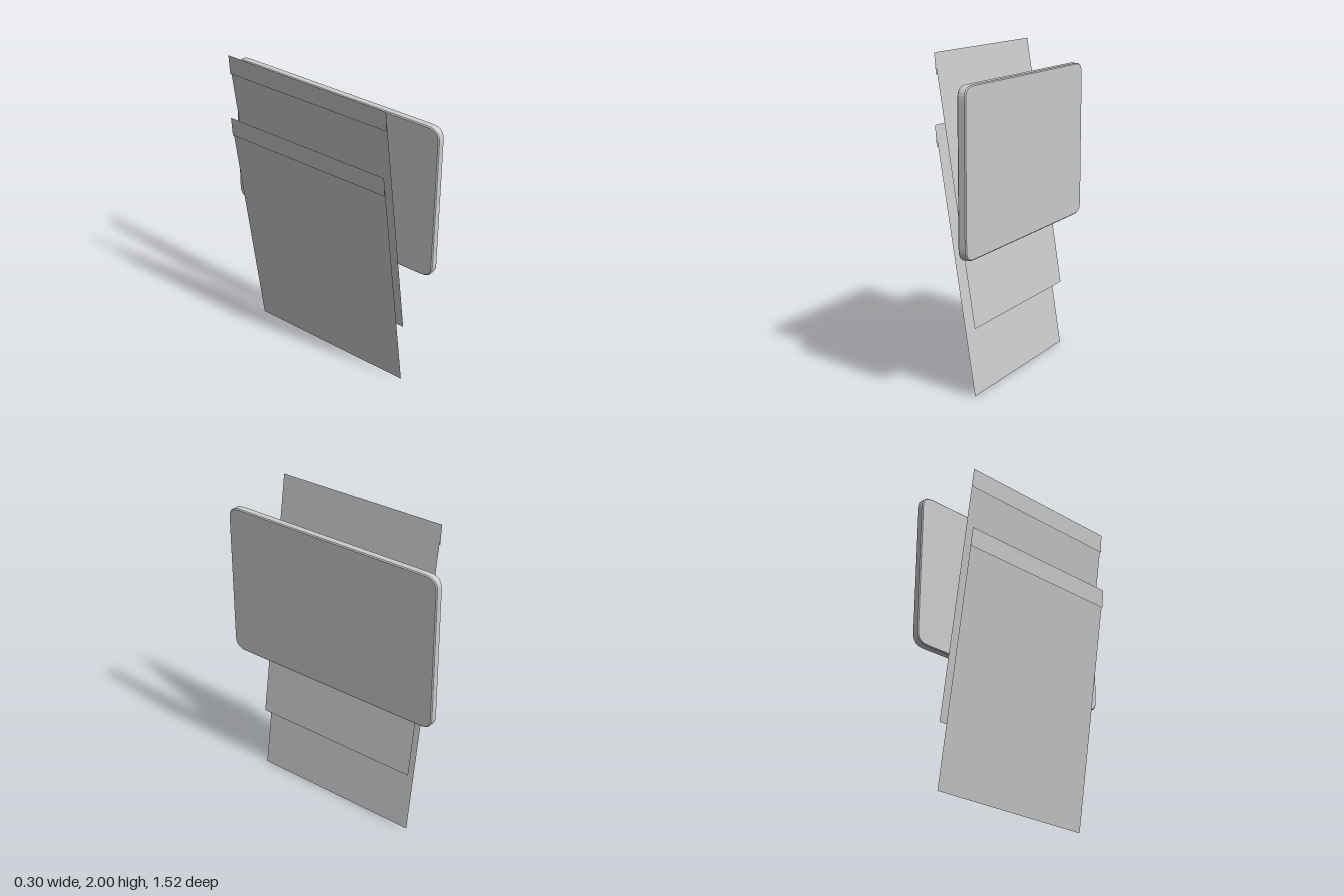
import * as THREE from 'three';

const solid = new THREE.MeshStandardMaterial({ color: 0xcccccc, flatShading: true });
const thin = new THREE.MeshStandardMaterial({ color: 0xcccccc, flatShading: true, side: THREE.DoubleSide });

// Thin sheet swept along z from an [x, y] profile
function sheet(profile, width) {
  const geo = new THREE.PlaneGeometry(1, 1, 1, profile.length - 1);
  const pos = geo.attributes.position;
  profile.forEach(([x, y], i) => {
    pos.setXYZ(i * 2, x, y, width / 2);
    pos.setXYZ(i * 2 + 1, x, y, -width / 2);
  });
  geo.computeVertexNormals();
  return geo;
}

// Upright slab with soft corners and a fine bevelled rim
function panelGeometry(width, height, depth) {
  const bevel = 0.006, w = width / 2 - bevel, h = height / 2 - bevel;
  const rx = 0.085, ry = 0.075;
  const s = new THREE.Shape();
  s.moveTo(-w + rx, -h);
  s.lineTo(w - rx, -h);
  s.bezierCurveTo(w - rx * 0.25, -h, w, -h + ry * 0.25, w, -h + ry);
  s.lineTo(w, h - ry);
  s.bezierCurveTo(w, h - ry * 0.25, w - rx * 0.25, h, w - rx, h);
  s.lineTo(-w + rx, h);
  s.bezierCurveTo(-w + rx * 0.25, h, -w, h - ry * 0.25, -w, h - ry);
  s.lineTo(-w, -h + ry);
  s.bezierCurveTo(-w, -h + ry * 0.25, -w + rx * 0.25, -h, -w + rx, -h);
  const geo = new THREE.ExtrudeGeometry(s, {
    depth: depth - 2 * bevel, curveSegments: 6,
    bevelSize: bevel, bevelThickness: bevel, bevelSegments: 1,
  });
  return geo.translate(0, 0, -depth / 2 + bevel).rotateY(Math.PI / 2);
}

export function createModel() {
  const model = new THREE.Group();
  model.name = 'panelWithSheets';

  // Upright panel
  const panel = new THREE.Mesh(panelGeometry(1.52, 0.99, 0.052), solid);
  panel.name = 'panel';
  panel.position.set(0.124, 1.347, 0);
  model.add(panel);

  // Two leaning sheets, each with a short flap folded down from its top edge
  const profile = [[0.098, 0], [-0.153, 1.586], [-0.143, 1.463]];
  [['lowerSheet', 0], ['upperSheet', 0.412]].forEach(([name, y]) => {
    const mesh = new THREE.Mesh(sheet(profile, 1.15), thin);
    mesh.name = name;
    mesh.position.y = y;
    model.add(mesh);
  });

  return model;
}
